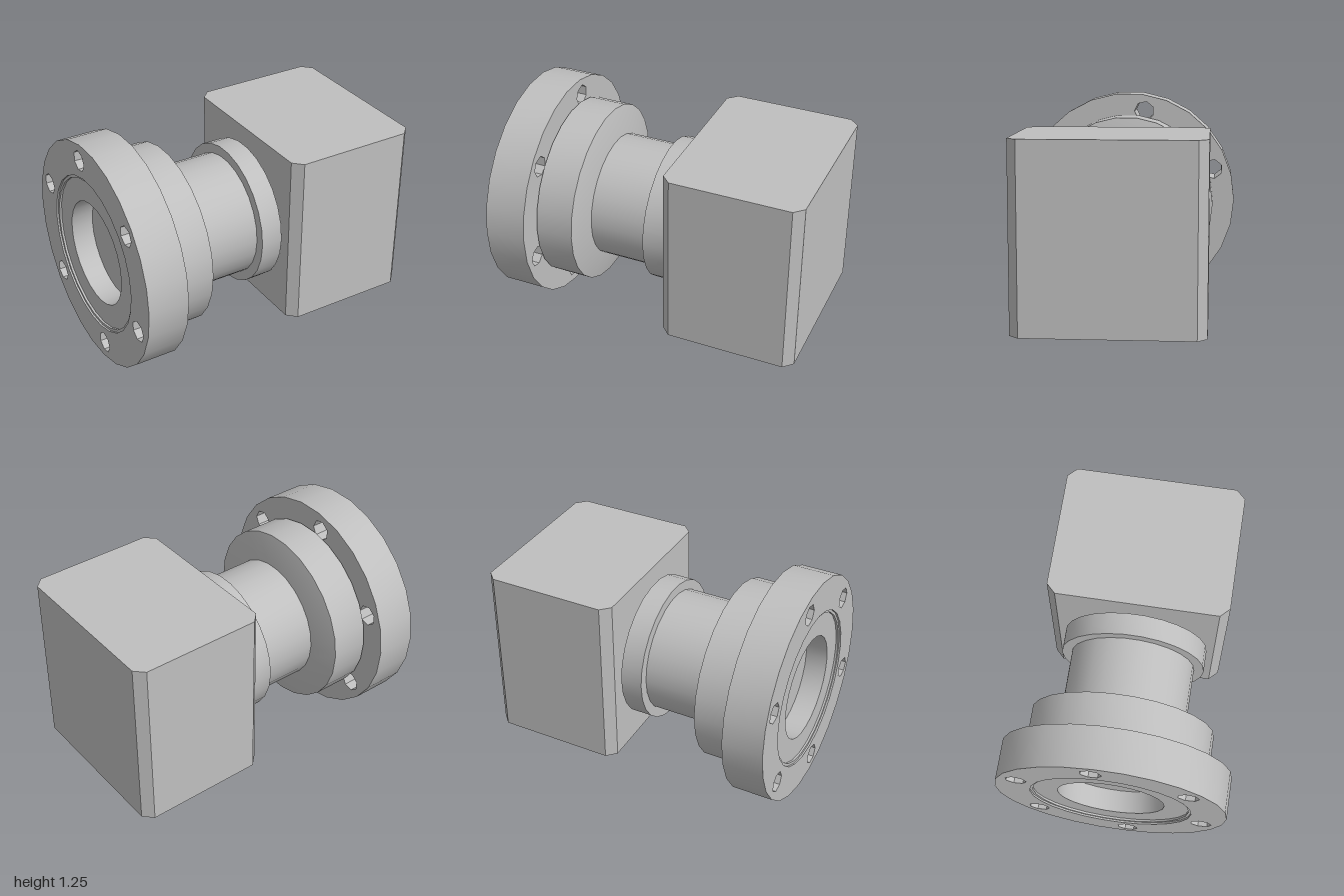
import * as THREE from 'three';
import { toCreasedNormals } from 'three/addons/utils/BufferGeometryUtils.js';

const SIDES = 26;

// Turned part along local z; profile is [radius, z] from the back axis to the front axis.
function turned(name, profile, material) {
  const points = profile.map(([r, z]) => new THREE.Vector2(r, z));
  const geometry = new THREE.LatheGeometry(points, SIDES, Math.PI / 2);
  geometry.rotateX(Math.PI / 2);
  const mesh = new THREE.Mesh(toCreasedNormals(geometry, 0.5), material);
  mesh.name = name;
  return mesh;
}

// Corners of a regular polygon
function ringPoints(radius, sides, cx = 0, cy = 0) {
  return Array.from({ length: sides }, (_, i) => {
    const a = (i / sides) * Math.PI * 2;
    return new THREE.Vector2(cx + radius * Math.cos(a), cy + radius * Math.sin(a));
  });
}

export function createModel() {
  const metal = new THREE.MeshStandardMaterial({ color: 0xbfbfbf });
  metal.name = 'grey metal';

  const model = new THREE.Group();
  model.name = 'flangedSensor';
  const body = new THREE.Group();
  body.name = 'body';
  body.position.set(0.006, 0.63, 0.005);
  body.rotation.y = -0.694;
  model.add(body);

  // Flange ring with six through holes
  const back = 0.533, front = 0.76;
  const shape = new THREE.Shape(ringPoints(0.63, SIDES));
  shape.holes.push(new THREE.Path(ringPoints(0.438, SIDES)));
  for (let i = 0; i < 6; i++) {
    const a = THREE.MathUtils.degToRad(100 + 60 * i);
    shape.holes.push(new THREE.Path(ringPoints(0.058, 7, 0.533 * Math.cos(a), 0.533 * Math.sin(a))));
  }
  const flangeGeometry = new THREE.ExtrudeGeometry(shape, { depth: front - back, bevelEnabled: false });
  flangeGeometry.translate(0, 0, back);
  const flange = new THREE.Mesh(toCreasedNormals(flangeGeometry, 0.5), metal);
  flange.name = 'boltFlange';
  body.add(flange);

  // Stepped sealing seat and blind bore inside the flange
  body.add(turned('sealSeat', [
    [0, back], [0.438, back], [0.438, 0.75], [0.423, 0.75], [0.423, 0.738],
    [0.29, 0.738], [0.29, 0.615], [0, 0.615],
  ], metal));

  // Collar with a shallow conical back
  body.add(turned('collar', [
    [0, 0.274], [0.345, 0.274], [0.504, 0.314], [0.504, 0.522], [0, 0.522],
  ], metal));

  // Neck tube and its rear ring
  body.add(turned('neckTube', [[0, -0.12], [0.345, -0.12], [0.345, 0.29], [0, 0.29]], metal));
  body.add(turned('rearRing', [[0, -0.178], [0.4, -0.178], [0.4, -0.056], [0, -0.056]], metal));

  // Housing block with chamfered upright edges
  const w = 0.49, c = 0.05, z0 = -0.947, z1 = -0.195;
  const outline = [
    [-w + c, z0], [w - c, z0], [w, z0 + c], [w, z1 - c],
    [w - c, z1], [-w + c, z1], [-w, z1 - c], [-w, z0 + c],
  ].map(([x, z]) => new THREE.Vector2(x, -z)).reverse();
  const blockGeometry = new THREE.ExtrudeGeometry(new THREE.Shape(outline), { depth: 0.98, bevelEnabled: false });
  blockGeometry.rotateX(-Math.PI / 2);
  blockGeometry.translate(0, -0.49, 0);
  const block = new THREE.Mesh(blockGeometry, metal);
  block.name = 'housingBlock';
  body.add(block);

  return model;
}
